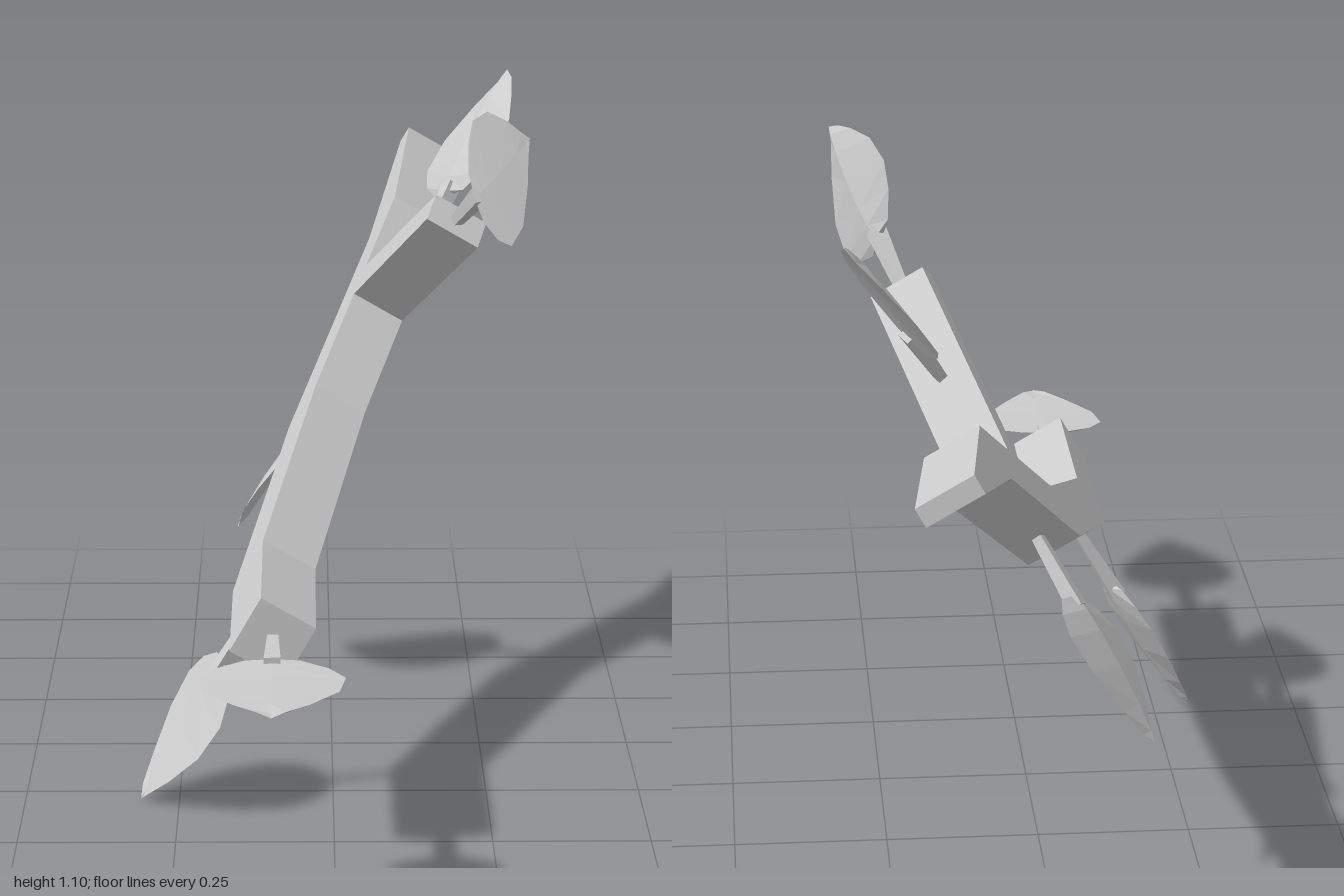
import * as THREE from 'three';

const material = new THREE.MeshStandardMaterial({ color: 0xcccccc, flatShading: true, side: THREE.DoubleSide });

// The branches are flat outlines in a plane leaning 60 degrees; WIDTH is their thickness across it
const WIDTH = 0.097;
const along = new THREE.Vector3(0, 0, 1);
const up = new THREE.Vector3(0.5, 0.866, 0);
const across = new THREE.Vector3().crossVectors(along, up);
const plane = new THREE.Matrix4().makeBasis(along, up, across).setPosition(-0.095, 0.367, 0);

// Outline points are [z, height in the leaning plane]
function branch(name, outline) {
  const shape = new THREE.Shape(outline.map(([z, t]) => new THREE.Vector2(z, t)));
  const geometry = new THREE.ExtrudeGeometry(shape, { depth: WIDTH, bevelEnabled: false });
  geometry.translate(0, 0, -WIDTH / 2).applyMatrix4(plane);
  const mesh = new THREE.Mesh(geometry, material);
  mesh.name = name;
  return mesh;
}

// Four-sided loft along local z; rows are [z, half width, lower y, upper y]
function loft(name, rows) {
  const positions = [], index = [];
  rows.forEach(([z, w, low, high], i) => {
    const edge = w ? 0.35 * high + 0.65 * low + 0.006 : (low + high) / 2;
    positions.push(w, edge, z, 0, high, z, -w, edge, z, 0, low, z);
    if (i === 0) return;
    for (let j = 0; j < 4; j++) {
      const a = (i - 1) * 4 + j, b = (i - 1) * 4 + (j + 1) % 4;
      index.push(a, b, a + 4, b, b + 4, a + 4);
    }
  });
  const geometry = new THREE.BufferGeometry();
  geometry.setAttribute('position', new THREE.Float32BufferAttribute(positions, 3));
  geometry.setIndex(index);
  geometry.computeVertexNormals();
  const mesh = new THREE.Mesh(geometry, material);
  mesh.name = name;
  return mesh;
}

// A leaf grows from base to tip, its blade spreading along side
function leaf(name, base, tip, side) {
  const group = new THREE.Group();
  group.name = name;

  // Thin stalk, widening towards the blade
  const stalk = new THREE.CylinderGeometry(0.018, 0.011, 0.15, 4);
  stalk.rotateY(Math.PI / 4).rotateX(Math.PI / 2).translate(0, 0, 0.055);
  const stalkMesh = new THREE.Mesh(stalk, material);
  stalkMesh.name = 'stalk';

  // Heart-like pointed blade, slightly cupped
  const blade = loft('blade', [
    [0.11, 0, -0.002, 0.002],
    [0.112, 0.042, -0.008, 0.005],
    [0.14, 0.085, -0.012, 0.003],
    [0.18, 0.11, -0.014, 0.001],
    [0.245, 0.1, -0.014, 0.0],
    [0.315, 0.056, -0.01, 0.001],
    [0.36, 0.02, -0.005, 0.001],
    [0.378, 0, -0.001, 0.001],
  ]);
  group.add(stalkMesh, blade);

  const b = new THREE.Vector3(...base);
  const d = new THREE.Vector3(...tip).sub(b).normalize();
  const n = new THREE.Vector3().crossVectors(d, new THREE.Vector3(...side)).normalize();
  const w = new THREE.Vector3().crossVectors(n, d);
  group.quaternion.setFromRotationMatrix(new THREE.Matrix4().makeBasis(w, n, d));
  group.position.copy(b);
  return group;
}

export function createModel() {
  const model = new THREE.Group();
  model.name = 'leafyBranch';

  // Main branch, tapering to a thin end at the back
  model.add(branch('mainBranch', [
    [0.62, -0.0485], [0.62, 0.0485], [0.285, 0.0485], [-0.175, 0.222], [-0.6, 0.51],
    [-0.995, 0.58], [-1, 0.549], [-0.615, 0.418], [-0.195, 0.129], [0.285, -0.0485],
  ]));

  // Side branch, rooted inside the main one
  model.add(branch('sideBranch', [
    [-0.016, 0.588], [-0.08, 0.622], [-0.47, 0.382], [-0.41, 0.335],
  ]));

  // Leaves
  model.add(
    leaf('frontLeaf', [-0.095, 0.367, 0.62], [-0.095, 0.362, 1], [1, 0, 0]),
    leaf('lowerFrontLeaf', [-0.119, 0.325, 0.288], [-0.31, 0.003, 0.288], [0.055, -0.03, 0.21]),
    leaf('lowerBackLeaf', [0.005, 0.54, -0.295], [-0.17, 0.247, -0.48], [0.1, 0.07, -0.2]),
    leaf('upperBackLeaf', [0.157, 0.805, -0.27], [0.312, 1.08, -0.48], [0.118, 0.07, 0.18]),
    leaf('sideBranchLeaf', [0.207, 0.89, -0.05], [0.308, 1.075, 0.255], [-0.06, 0.2, -0.09]),
  );
  return model;
}
